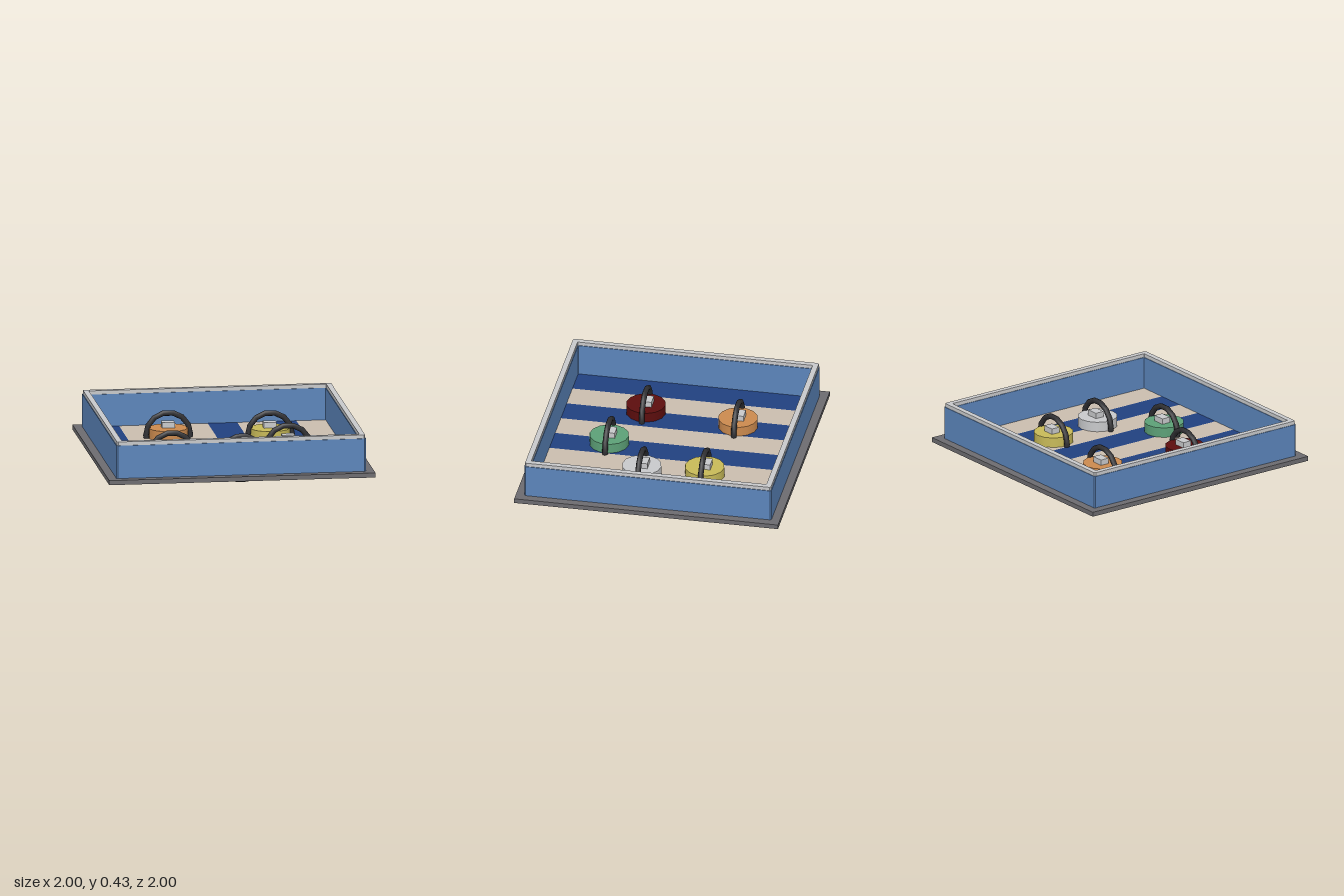
import * as THREE from 'three';

const mat = (name, color) => {
  const m = new THREE.MeshStandardMaterial({ color });
  m.name = name;
  return m;
};

// Square outline with small chamfered corners
function outline(target, h, c) {
  const pts = [[h - c, -h], [h, -h + c], [h, h - c], [h - c, h], [-h + c, h], [-h, h - c], [-h, -h + c], [-h + c, -h]];
  target.setFromPoints(pts.map(([x, y]) => new THREE.Vector2(x, y)));
  return target;
}

// Square frame standing on y0
function frameGeometry(outer, inner, y0, y1) {
  const shape = outline(new THREE.Shape(), outer, 0.01);
  shape.holes.push(outline(new THREE.Path(), inner, 0.002));
  const geo = new THREE.ExtrudeGeometry(shape, { depth: y1 - y0, bevelEnabled: false });
  return geo.rotateX(-Math.PI / 2).translate(0, y0, 0);
}

export function createModel() {
  const model = new THREE.Group();
  const base = mat('slate grey', 0x6c6b6f);
  const wall = mat('wall blue', 0x5b84ba);
  const light = mat('pale grey', 0xc8c9cb);
  const navy = mat('navy', 0x21407f);
  const sand = mat('sand', 0xcabdae);
  const dark = mat('charcoal', 0x2f2f32);
  const orange = mat('orange', 0xcb8a4e);
  const yellow = mat('yellow', 0xc8ba58);
  const red = mat('dark red', 0x5c0d0d);
  const green = mat('green', 0x5ca077);

  const add = (parent, name, geo, material, x = 0, y = 0, z = 0) => {
    const mesh = new THREE.Mesh(geo, material);
    mesh.name = name;
    mesh.position.set(x, y, z);
    parent.add(mesh);
    return mesh;
  };

  // Base slab, walls and rim
  add(model, 'baseSlab', new THREE.BoxGeometry(2, 0.035, 2), base, 0, 0.1385, 0);
  add(model, 'walls', frameGeometry(0.937, 0.886, 0.156, 0.405), wall);
  add(model, 'rim', frameGeometry(0.932, 0.891, 0.405, 0.433), light);

  // Striped floor
  const stripe = 1.776 / 8;
  for (let i = 0; i < 8; i++) {
    add(model, 'floorStripe', new THREE.BoxGeometry(stripe, 0.006, 1.776), i % 2 ? sand : navy,
      (i - 3.5) * stripe, 0.159, 0);
  }

  // Weights with a top block and an upright ring handle passing through the floor
  const disc = new THREE.CylinderGeometry(0.148, 0.148, 0.08, 14);
  const block = new THREE.BoxGeometry(0.096, 0.045, 0.07);
  const ring = new THREE.TorusGeometry(0.167, 0.021, 8, 14);
  const weights = [
    [orange, -0.36, -0.43], [yellow, 0.39, -0.325], [light, 0.463, 0.138],
    [red, -0.43, 0.282], [green, 0.07, 0.462],
  ];
  for (const [material, x, z] of weights) {
    const weight = new THREE.Group();
    weight.name = 'weight';
    weight.position.set(x, 0, z);
    add(weight, 'disc', disc, material, 0, 0.197, 0);
    add(weight, 'topBlock', block, light, 0, 0.257, -0.016);
    add(weight, 'ringHandle', ring, dark, 0, 0.184, 0);
    model.add(weight);
  }
  return model;
}
